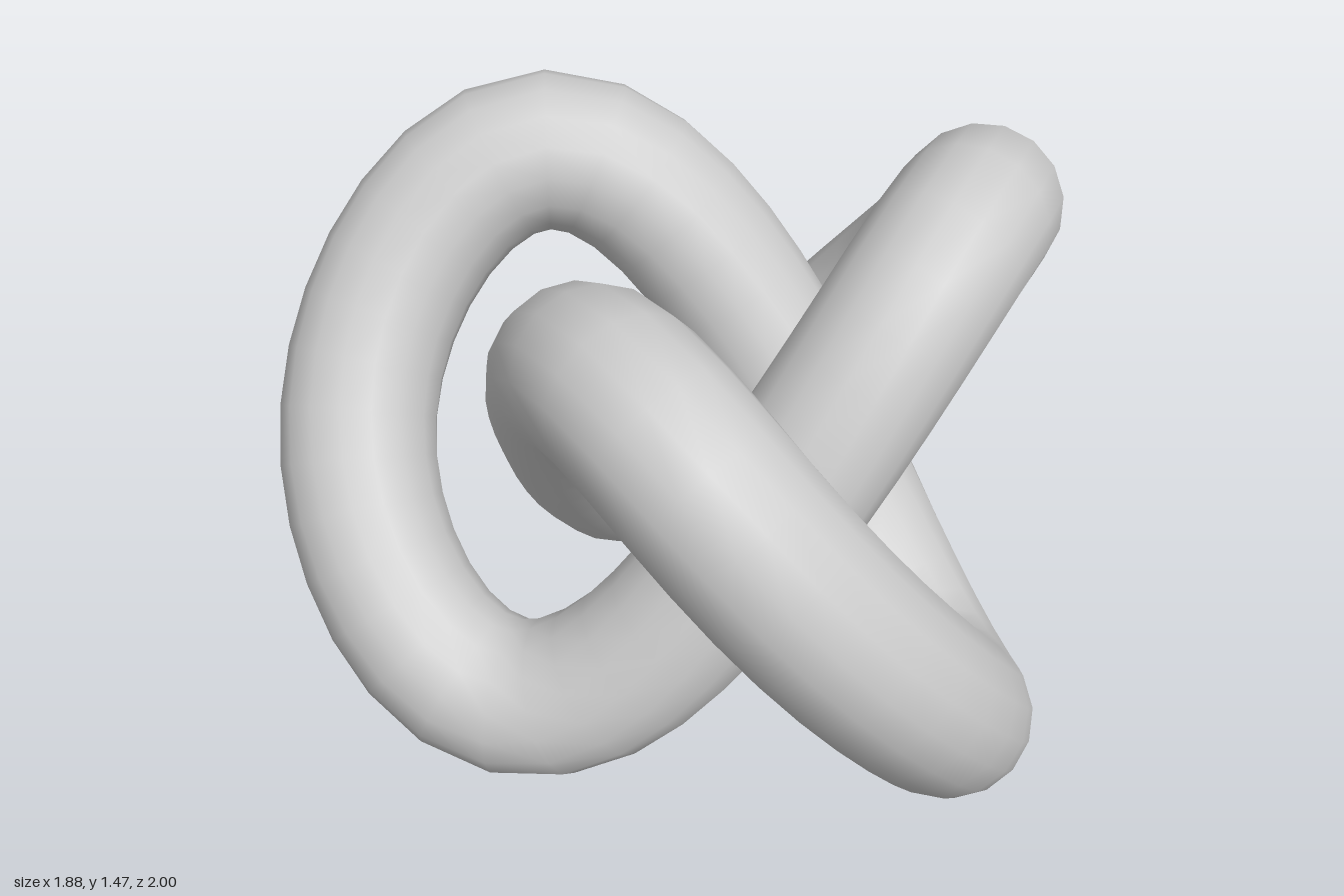
import * as THREE from 'three';

// Centre line of a three-lobed knot lying around the vertical axis
class KnotCurve extends THREE.Curve {
  getPoint(u, target = new THREE.Vector3()) {
    const t = u * Math.PI * 2;
    const big = 0.602, small = 0.275;
    return target.set(
      0.13 - (big * Math.cos(2 * t) + small * Math.cos(t)),
      0.735 + 0.525 * (Math.sin(3 * t) - 0.125 * Math.sin(6 * t)),
      small * Math.sin(t) - big * Math.sin(2 * t)
    );
  }
}

export function createModel() {
  const group = new THREE.Group();
  group.name = 'trefoilKnot';

  // One closed, smooth round tube
  const tube = new THREE.Mesh(
    new THREE.TubeGeometry(new KnotCurve(), 84, 0.195, 16, true),
    new THREE.MeshStandardMaterial({ color: 0xcccccc })
  );
  tube.name = 'knotTube';
  group.add(tube);
  return group;
}
